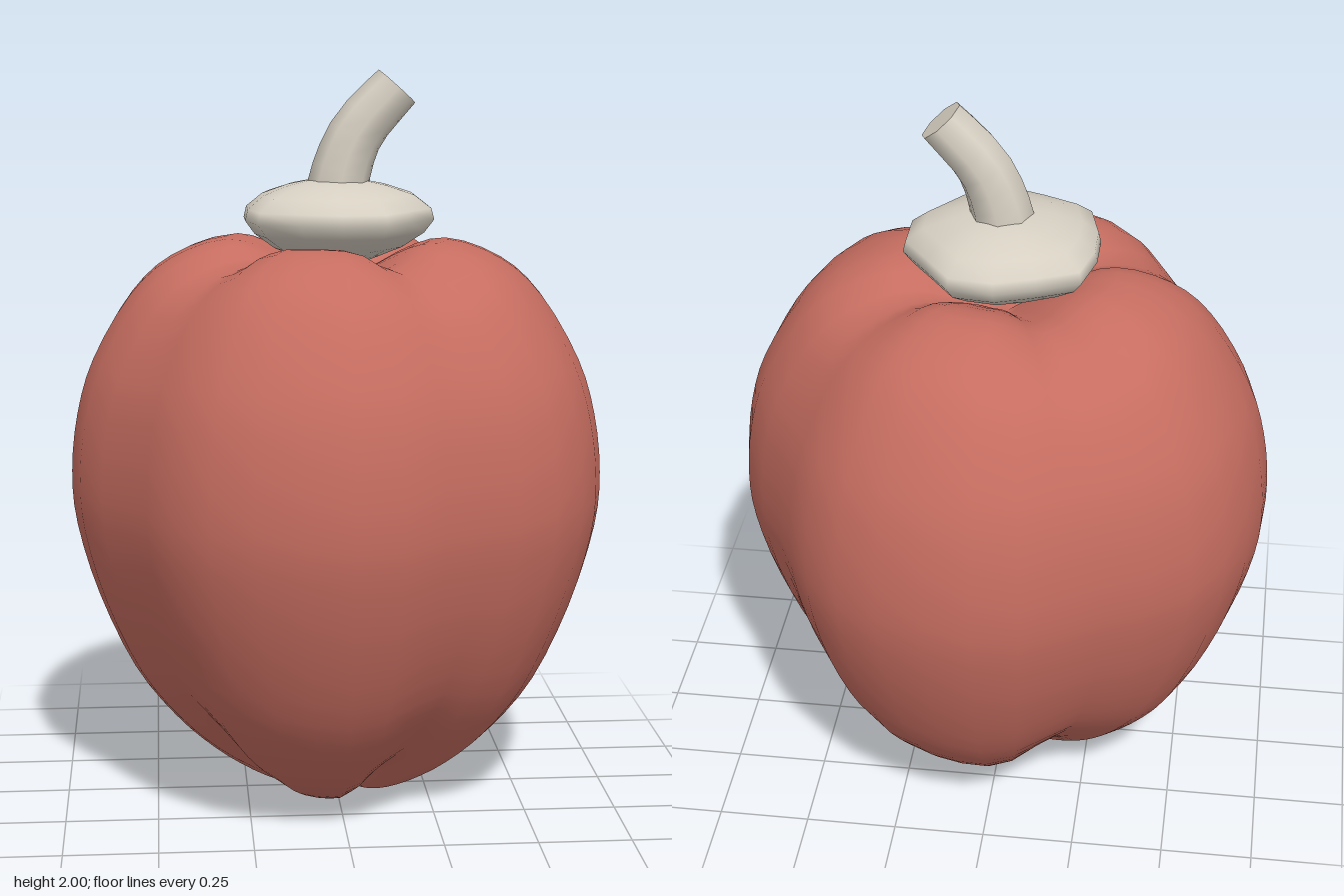
import * as THREE from 'three';
import { mergeVertices } from 'three/addons/utils/BufferGeometryUtils.js';

const red = new THREE.MeshStandardMaterial({ name: 'softRed', color: 0xc66d60 });
const cream = new THREE.MeshStandardMaterial({ name: 'paleCream', color: 0xd6cfc2 });

const spline = (pts) => new THREE.SplineCurve(pts.map(([x, y]) => new THREE.Vector2(x, y)));

// Weld the lathe seam and poles, then smooth
function smooth(geometry) {
  geometry.deleteAttribute('uv');
  geometry.deleteAttribute('normal');
  const merged = mergeVertices(geometry, 1e-4);
  merged.computeVertexNormals();
  return merged;
}

// Four-lobed fruit: blends a lobe profile with a groove profile around the axis
function fruitGeometry() {
  const lobe = spline([[0, 0.025], [0.06, 0.006], [0.13, 0.006], [0.23, 0.045], [0.34, 0.115],
    [0.45, 0.215], [0.56, 0.36], [0.655, 0.57], [0.712, 0.77], [0.724, 0.92], [0.706, 1.08], [0.66, 1.23],
    [0.56, 1.4], [0.45, 1.5], [0.3, 1.552], [0.17, 1.515], [0, 1.41]]);
  const groove = spline([[0, 0.025], [0.05, 0.03], [0.11, 0.06], [0.2, 0.115], [0.3, 0.175],
    [0.4, 0.265], [0.51, 0.4], [0.6, 0.59], [0.65, 0.78], [0.66, 0.92], [0.645, 1.07], [0.605, 1.21],
    [0.515, 1.365], [0.41, 1.45], [0.27, 1.49], [0.15, 1.465], [0, 1.41]]);
  const rows = 48, sides = 36;
  const a = lobe.getPoints(rows), b = groove.getPoints(rows);
  a[0].x = a[rows].x = b[0].x = b[rows].x = 0;
  const g = new THREE.LatheGeometry(a, sides);
  const pos = g.attributes.position;
  for (let i = 0; i < pos.count; i++) {
    const row = i % (rows + 1);
    const phi = (Math.floor(i / (rows + 1)) / sides) * Math.PI * 2;
    const angle = Math.PI / 2 - phi; // from +x towards +z
    const u = (1 - Math.cos(4 * (angle - Math.PI / 12))) / 2;
    const p = a[row].clone().lerp(b[row], u ** 2.5);
    pos.setXYZ(i, p.x * Math.sin(phi), p.y, p.x * Math.cos(phi));
  }
  return smooth(g);
}

// Flat cap with a five-wave rim
function calyxGeometry() {
  const profile = [[0, 1.45], [0.09, 1.495], [0.17, 1.53], [0.225, 1.57], [0.25, 1.605], [0.243, 1.635],
    [0.2, 1.67], [0.13, 1.695], [0.07, 1.708], [0, 1.71]].map(([x, y]) => new THREE.Vector2(x, y));
  const g = new THREE.LatheGeometry(profile, 14);
  const pos = g.attributes.position;
  for (let i = 0; i < pos.count; i++) {
    const x = pos.getX(i), z = pos.getZ(i);
    const wave = 1.04 + 0.07 * Math.cos(5 * Math.atan2(z, x)) * Math.min(1, Math.hypot(x, z) / 0.2);
    pos.setX(i, x * wave);
    pos.setZ(i, z * wave);
  }
  return smooth(g);
}

// Tapered cylinder bent along a curve in the xy plane
function stemGeometry() {
  const path = spline([[0, 1.62], [0.012, 1.72], [0.06, 1.84], [0.165, 1.957]]);
  const g = new THREE.CylinderGeometry(0.066, 0.089, 1, 8, 8);
  const pos = g.attributes.position, nor = g.attributes.normal;
  for (let i = 0; i < pos.count; i++) {
    const t = pos.getY(i) + 0.5;
    const p = path.getPoint(t), d = path.getTangent(t);
    const x = pos.getX(i), nx = nor.getX(i), ny = nor.getY(i);
    pos.setXY(i, p.x + d.y * x, p.y - d.x * x);
    nor.setXY(i, d.y * nx + d.x * ny, -d.x * nx + d.y * ny);
  }
  return g;
}

export function createModel() {
  const group = new THREE.Group();
  group.name = 'pepper';
  const parts = [
    ['fruit', fruitGeometry(), red],
    ['calyx', calyxGeometry(), cream],
    ['stem', stemGeometry(), cream],
  ];
  for (const [name, geometry, material] of parts) {
    const mesh = new THREE.Mesh(geometry, material);
    mesh.name = name;
    group.add(mesh);
  }
  return group;
}
